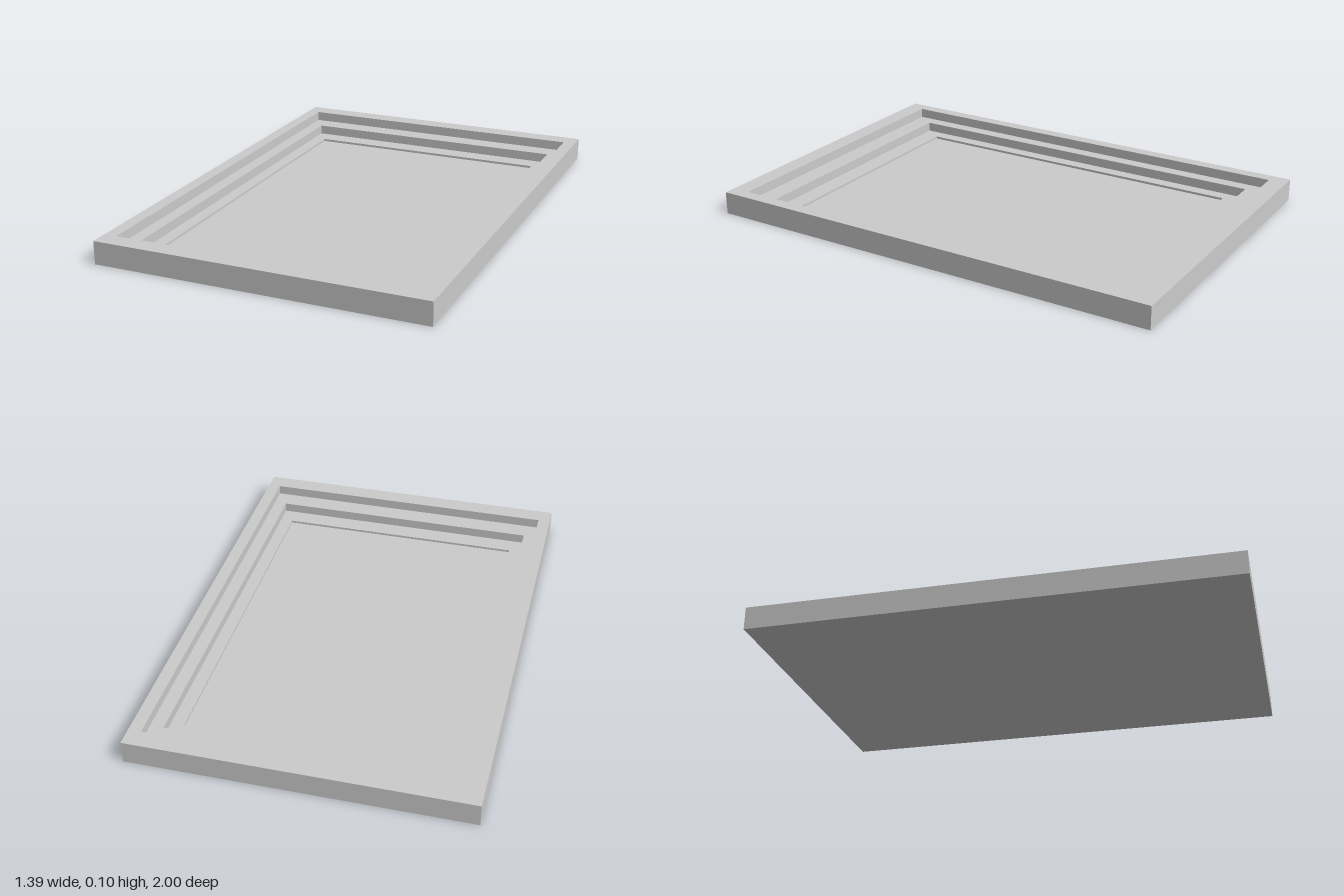
import * as THREE from 'three';

const material = new THREE.MeshStandardMaterial({ color: 0xcccccc, flatShading: true });

// Skin between successive rectangles [halfX, halfZ, y]; a half size of 0 closes the surface
function rectangleLoft(name, sections) {
  const positions = [];
  const rings = sections.map(([x, z, y]) => [[x, y, z], [x, y, -z], [-x, y, -z], [-x, y, z]]);
  for (let s = 0; s < rings.length - 1; s++) {
    for (let i = 0; i < 4; i++) {
      const j = (i + 1) % 4;
      const a = rings[s][i], b = rings[s][j], c = rings[s + 1][j], d = rings[s + 1][i];
      positions.push(...a, ...b, ...c, ...a, ...c, ...d);
    }
  }
  const geometry = new THREE.BufferGeometry();
  geometry.setAttribute('position', new THREE.Float32BufferAttribute(positions, 3));
  geometry.computeVertexNormals();
  const mesh = new THREE.Mesh(geometry, material);
  mesh.name = name;
  return mesh;
}

// Flat rectangular panel facing up or down
function panel(name, halfX, halfZ, y, up) {
  const geometry = new THREE.PlaneGeometry(2 * halfX, 2 * halfZ);
  geometry.rotateX(up ? -Math.PI / 2 : Math.PI / 2);
  const mesh = new THREE.Mesh(geometry, material);
  mesh.name = name;
  mesh.position.y = y;
  return mesh;
}

export function createModel() {
  const tray = new THREE.Group();
  tray.name = 'steppedTray';

  // Half sizes of the nested outlines and the height of each ledge
  const outlines = [[0.695, 1], [0.642, 0.922], [0.587, 0.838], [0.533, 0.758]];
  const levels = [0.097, 0.055, 0.014, 0.004];

  // Outside walls and underside
  tray.add(rectangleLoft('outerWalls', [[...outlines[0], 0], [...outlines[0], levels[0]]]));
  tray.add(panel('underside', ...outlines[0], 0, false));

  // Each ledge runs inward, then drops to the next level
  ['topRim', 'upperStep', 'lowerStep'].forEach((name, i) => {
    tray.add(rectangleLoft(name, [
      [...outlines[i], levels[i]],
      [...outlines[i + 1], levels[i]],
      [...outlines[i + 1], levels[i + 1]],
    ]));
  });

  // Recessed floor
  tray.add(panel('floor', ...outlines[3], levels[3], true));
  return tray;
}
